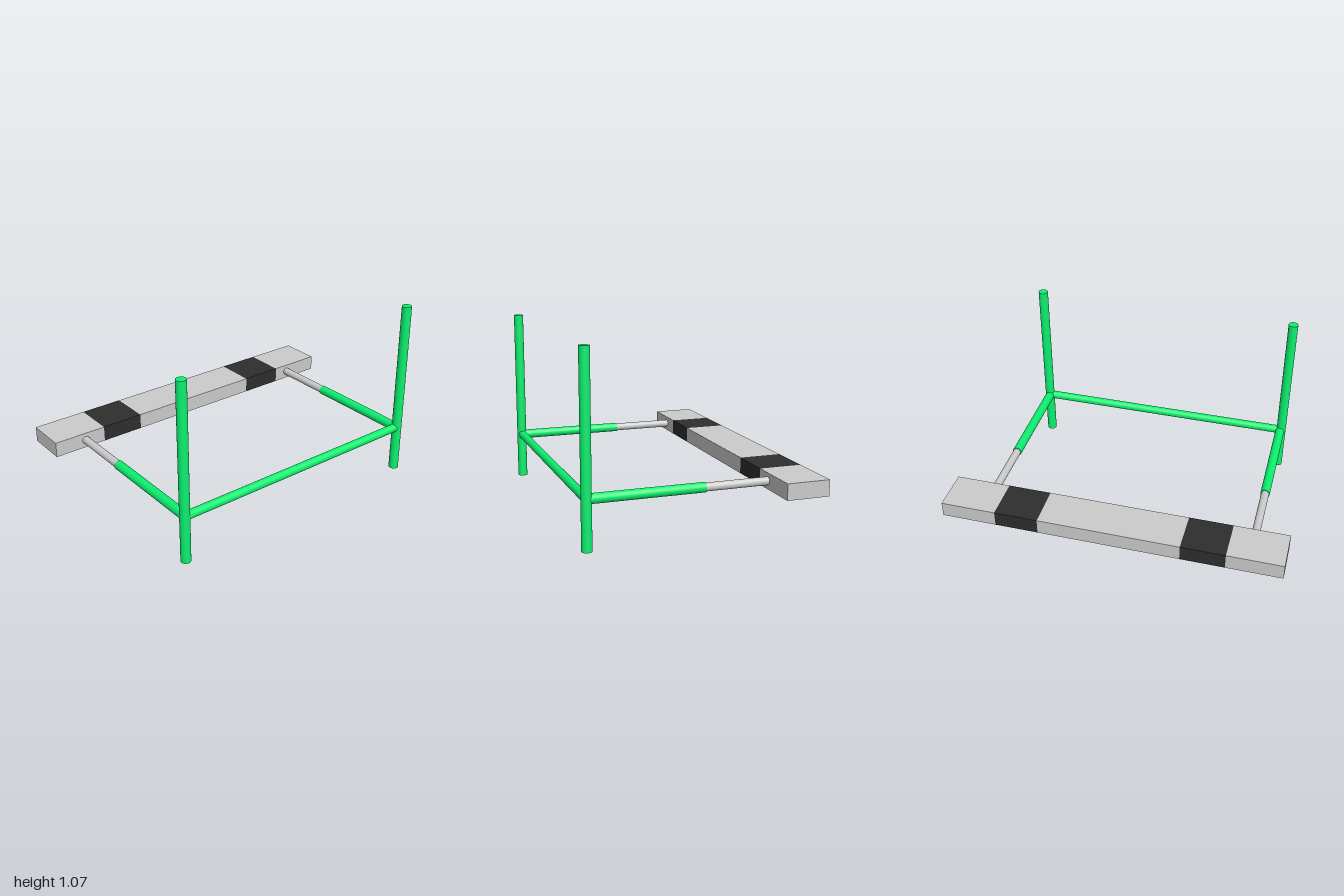
import * as THREE from 'three';

const green = new THREE.MeshStandardMaterial({ color: 0x0cf070 });
const grey = new THREE.MeshStandardMaterial({ color: 0xcccccc });
const black = new THREE.MeshStandardMaterial({ color: 0x2e2e2e });

const BAR_Y = 0.278; // height of the horizontal frame
const POST_Z = 0.62;

// Round tube between two points
function tube(name, from, to, radius, material) {
  const a = new THREE.Vector3(...from);
  const b = new THREE.Vector3(...to);
  const mesh = new THREE.Mesh(
    new THREE.CylinderGeometry(radius, radius, a.distanceTo(b), 32), material);
  mesh.name = name;
  mesh.position.copy(a).lerp(b, 0.5);
  mesh.quaternion.setFromUnitVectors(new THREE.Vector3(0, 1, 0), b.sub(a).normalize());
  return mesh;
}

// Length of the beam from x0 to x1
function beamSection(name, x0, x1, material) {
  const mesh = new THREE.Mesh(new THREE.BoxGeometry(x1 - x0, 0.092, 0.248), material);
  mesh.name = name;
  mesh.position.set((x0 + x1) / 2, 0.277, -0.526);
  return mesh;
}

export function createModel() {
  const model = new THREE.Group();
  model.name = 'hurdle';

  // Upright post, side arm and telescopic rod on each side
  const sides = [
    { side: 'right', postX: -0.808, armX: -0.802 },
    { side: 'left', postX: 0.772, armX: 0.767 },
  ];
  for (const { side, postX, armX } of sides) {
    model.add(
      tube(`${side}Post`, [postX, 0, POST_Z], [postX, 1.065, POST_Z], 0.029, green),
      tube(`${side}Arm`, [armX, BAR_Y, POST_Z - 0.01], [armX, BAR_Y, -0.035], 0.028, green),
      tube(`${side}Rod`, [armX, BAR_Y, 0], [armX, BAR_Y, -0.41], 0.0235, grey));
  }

  // Bar joining the two posts
  model.add(tube('crossbar', [-0.802, BAR_Y, POST_Z - 0.002], [0.767, BAR_Y, POST_Z - 0.002], 0.025, green));

  // Beam with two dark bands
  const beam = new THREE.Group();
  beam.name = 'beam';
  const cuts = [-1, -0.676, -0.418, 0.416, 0.674, 1];
  for (let i = 0; i < cuts.length - 1; i++) {
    const dark = i % 2 === 1;
    beam.add(beamSection(dark ? 'darkBand' : 'beamSection', cuts[i], cuts[i + 1], dark ? black : grey));
  }
  model.add(beam);

  return model;
}
